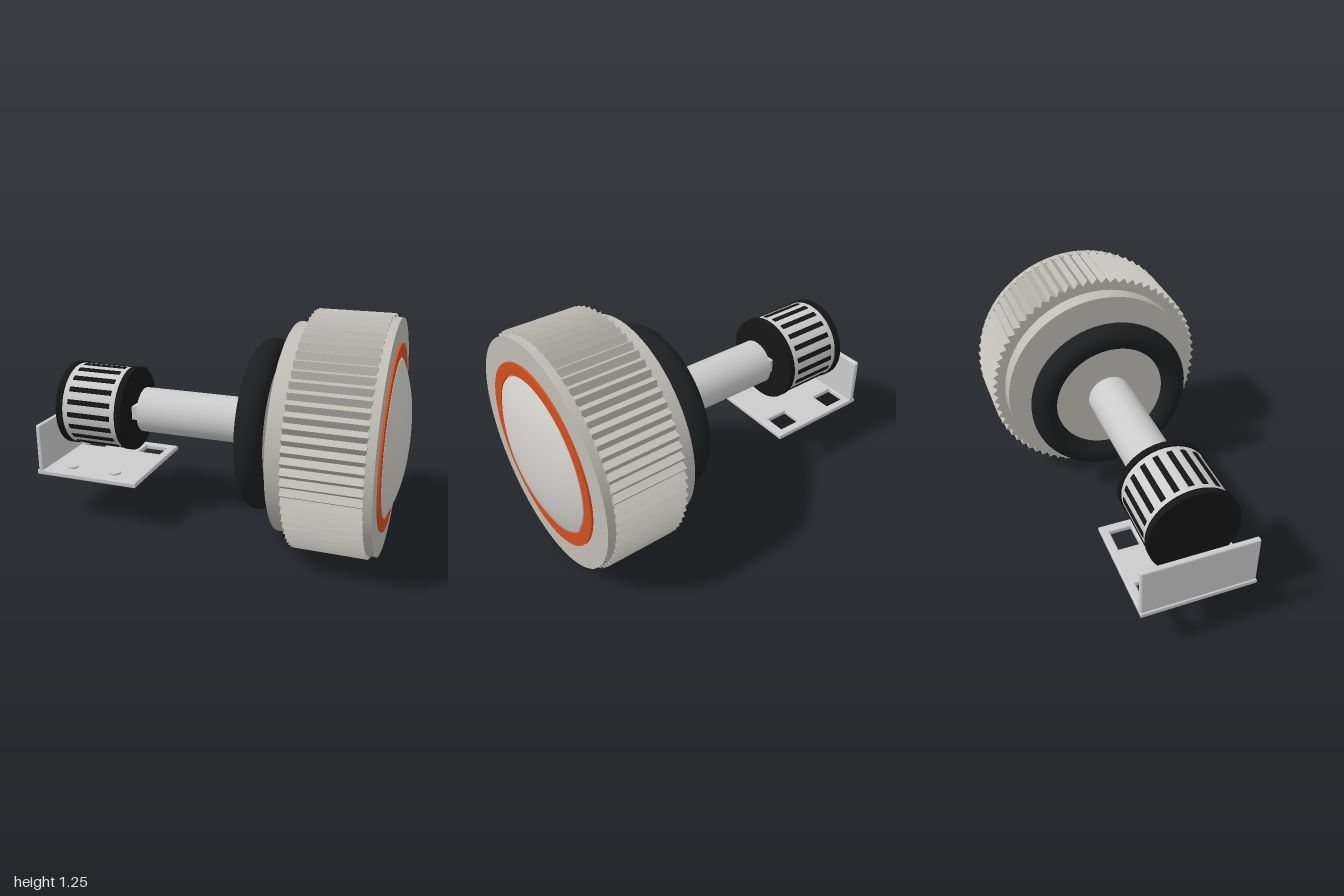
import * as THREE from 'three';
import { RoundedBoxGeometry } from 'three/addons/geometries/RoundedBoxGeometry.js';

const AXIS_Y = 0.625;
const paint = (color) => new THREE.MeshStandardMaterial({ color });
const grey = paint(0xcccccc);
const stone = paint(0xbfbdb4);
const black = paint(0x151515);
const rubber = paint(0x1b1d1e);
const orange = paint(0xd2501f);
const domeGrey = paint(0xd2d0cc);

function add(parent, name, geometry, material, x = 0, y = 0, z = 0) {
  const mesh = new THREE.Mesh(geometry, material);
  mesh.name = name;
  mesh.position.set(x, y, z);
  parent.add(mesh);
  return mesh;
}

// Solid cylinder lying along x, from x0 to x1
function disc(parent, name, radius, x0, x1, material) {
  const g = new THREE.CylinderGeometry(radius, radius, x1 - x0, 72).rotateZ(-Math.PI / 2);
  return add(parent, name, g, material, (x0 + x1) / 2);
}

// Flat outline in the yz plane, extruded along x from x0 to x1
function slab(parent, name, shape, x0, x1, material) {
  const g = new THREE.ExtrudeGeometry(shape, { depth: x1 - x0, bevelEnabled: false, curveSegments: 48 });
  return add(parent, name, g.rotateY(Math.PI / 2), material, x0);
}

function rectPath(PathType, x0, y0, x1, y1) {
  const p = new PathType();
  p.moveTo(x0, y0).lineTo(x1, y0).lineTo(x1, y1).lineTo(x0, y1).closePath();
  return p;
}

function knob() {
  const group = new THREE.Group();
  group.name = 'knob';
  disc(group, 'backCollar', 0.553, 0.4, 0.5, stone);

  // Knurled rim with pointed teeth
  const teeth = 72;
  const outline = new THREE.Shape();
  for (let i = 0; i < teeth * 2; i++) {
    const a = (i + 0.5) * Math.PI / teeth;
    const r = i % 2 ? 0.596 : 0.625;
    if (i) outline.lineTo(r * Math.cos(a), r * Math.sin(a));
    else outline.moveTo(r * Math.cos(a), r * Math.sin(a));
  }
  outline.closePath();
  slab(group, 'knurledRim', outline, 0.49, 0.875, stone);
  disc(group, 'facePlate', 0.606, 0.87, 0.915, stone);

  // Coloured ring around the dome
  const ring = new THREE.Shape().absarc(0, 0, 0.48, 0, Math.PI * 2);
  ring.holes.push(new THREE.Path().absarc(0, 0, 0.413, 0, Math.PI * 2, true));
  slab(group, 'accentRing', ring, 0.91, 0.925, orange);

  // Shallow dome
  const profile = [new THREE.Vector2(0.406, 0.9)];
  for (let i = 0; i <= 16; i++) {
    const t = 1 - i / 16;
    profile.push(new THREE.Vector2(0.406 * Math.sin(t * Math.PI / 2), 0.925 + 0.075 * (1 - Math.sin(t * Math.PI / 2) ** 2.5)));
  }
  add(group, 'dome', new THREE.LatheGeometry(profile, 72).rotateZ(-Math.PI / 2), domeGrey);
  return group;
}

function shaft() {
  const group = new THREE.Group();
  group.name = 'shaftAssembly';
  add(group, 'rubberRing', new THREE.TorusGeometry(0.386, 0.071, 24, 72).rotateY(Math.PI / 2), rubber, 0.269);
  disc(group, 'ringHub', 0.386, 0.265, 0.295, stone);
  disc(group, 'shaft', 0.125, -0.455, 0.275, grey);
  add(group, 'driveTab', new THREE.BoxGeometry(0.08, 0.075, 0.18), grey, -0.48);
  return group;
}

function drum() {
  const group = new THREE.Group();
  group.name = 'slottedDrum';
  disc(group, 'drumBody', 0.228, -0.87, -0.525, grey);
  disc(group, 'outerFlange', 0.236, -0.895, -0.858, black);
  disc(group, 'innerFlange', 0.236, -0.537, -0.5, black);
  // Dark slots round the body
  const slots = 20;
  for (let i = 0; i < slots; i++) {
    const a = i * 2 * Math.PI / slots;
    const slot = add(group, 'slot', new THREE.BoxGeometry(0.255, 0.02, 0.028), black,
      -0.698, 0.222 * Math.cos(a), 0.222 * Math.sin(a));
    slot.rotation.x = a;
  }
  return group;
}

function bracket() {
  const group = new THREE.Group();
  group.name = 'bracket';
  // Base plate with two square holes along its back edge
  const bevel = 0.008;
  const plate = rectPath(THREE.Shape, -1 + bevel, -0.3 + bevel, -0.395 - bevel, 0.305 - bevel);
  for (const x of [-0.88, -0.512]) {
    plate.holes.push(rectPath(THREE.Path, x - 0.075, 0.135, x + 0.075, 0.268));
  }
  const g = new THREE.ExtrudeGeometry(plate, {
    depth: 0.03 - 2 * bevel, bevelThickness: bevel, bevelSize: bevel, bevelSegments: 3,
  }).rotateX(-Math.PI / 2);
  add(group, 'basePlate', g, grey, 0, 0.27 + bevel);
  add(group, 'uprightWall', new RoundedBoxGeometry(0.03, 0.29, 0.605, 3, 0.01), grey, -0.978, 0.42, -0.0025);
  // Low studs along the front edge
  for (const x of [-0.83, -0.562]) {
    add(group, 'stud', new THREE.CylinderGeometry(0.033, 0.033, 0.03, 32), grey, x, 0.295, 0.205);
  }
  return group;
}

export function createModel() {
  const model = new THREE.Group();
  model.name = 'knobAssembly';
  for (const part of [knob(), shaft(), drum()]) {
    part.position.y = AXIS_Y;
    model.add(part);
  }
  model.add(bracket());
  return model;
}
